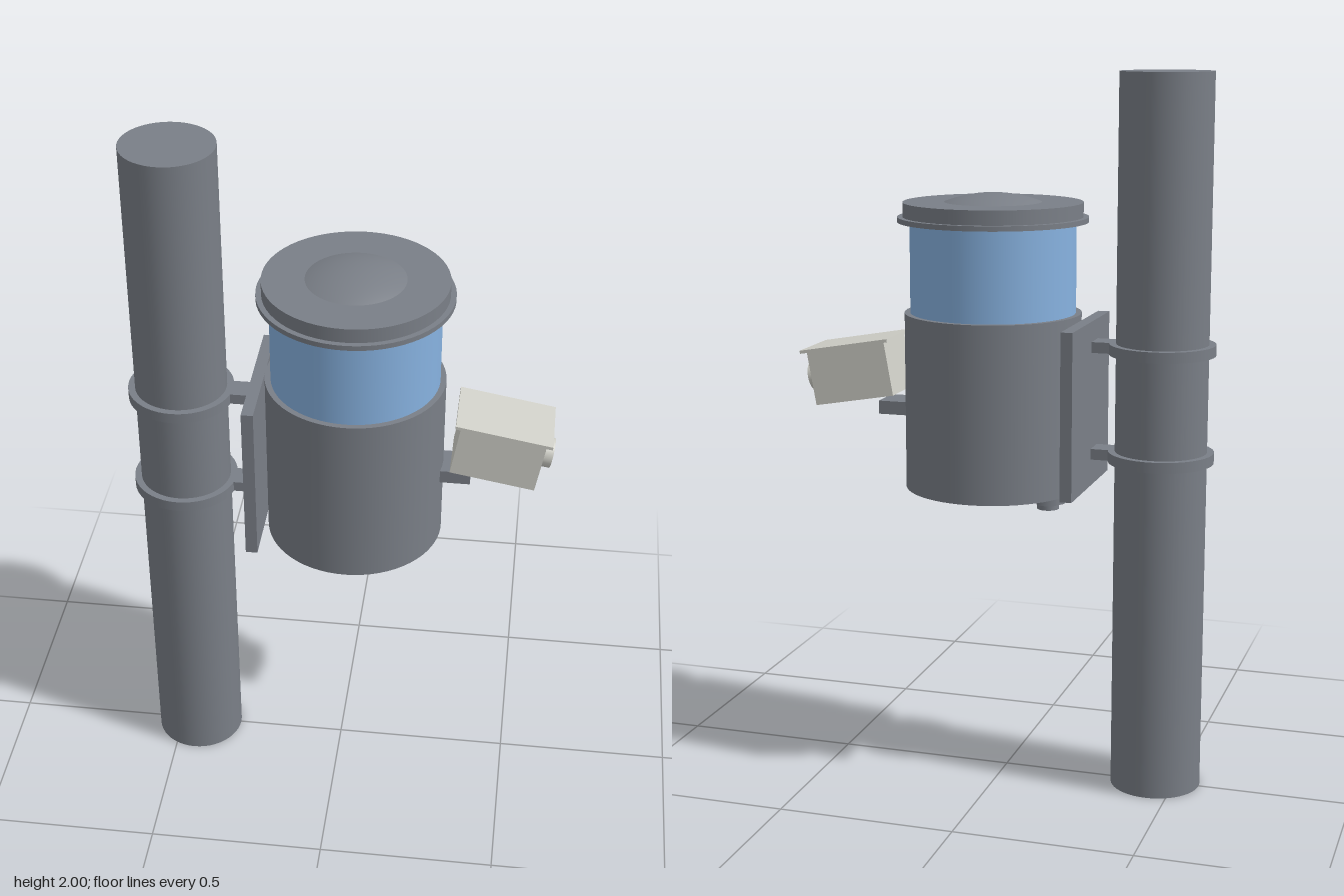
import * as THREE from 'three';

const mat = (name, color) => {
  const m = new THREE.MeshStandardMaterial({ color });
  m.name = name;
  return m;
};

export function createModel() {
  const grey = mat('steel grey', 0x7a7f87);
  const blue = mat('blue window', 0x87b2e0);
  const pale = mat('pale casing', 0xd0d0c8);
  const dark = mat('dark lens', 0x1c1c1e);

  const root = new THREE.Group();
  root.name = 'poleMountedSensor';

  const add = (parent, name, geometry, material, x = 0, y = 0, z = 0) => {
    const mesh = new THREE.Mesh(geometry, material);
    mesh.name = name;
    mesh.position.set(x, y, z);
    parent.add(mesh);
    return mesh;
  };
  // Upright cylinder between two heights
  const cyl = (parent, name, material, r, y0, y1, x, z = 0, sides = 48) =>
    add(parent, name, new THREE.CylinderGeometry(r, r, y1 - y0, sides), material, x, (y0 + y1) / 2, z);
  const box = (parent, name, material, w, h, d, x, y, z = 0) =>
    add(parent, name, new THREE.BoxGeometry(w, h, d), material, x, y, z);

  // Pole with two clamps
  const poleX = -0.444;
  cyl(root, 'pole', grey, 0.127, 0, 2, poleX);
  for (const y of [0.955, 1.255]) {
    const clamp = new THREE.Group();
    clamp.name = 'clamp';
    cyl(clamp, 'clampBand', grey, 0.146, y - 0.015, y + 0.015, poleX);
    box(clamp, 'clampTab', grey, 0.08, 0.03, 0.068, -0.293, y);
    root.add(clamp);
  }
  box(root, 'mountingPlate', grey, 0.033, 0.465, 0.4, -0.227, 1.088);

  // Round housing, window band and lid
  const bodyX = 0.04;
  cyl(root, 'housing', grey, 0.247, 0.84, 1.336, bodyX, 0, 64);
  cyl(root, 'windowBand', blue, 0.231, 1.336, 1.59, bodyX, 0, 64);
  cyl(root, 'lidFlange', grey, 0.265, 1.588, 1.602, bodyX, 0, 64);
  cyl(root, 'lid', grey, 0.25, 1.602, 1.642, bodyX, 0, 64);

  // Shallow dome cap on the lid
  const capR = 0.135, capH = 0.025;
  const R = (capR * capR + capH * capH) / (2 * capH);
  add(root, 'lidDome',
    new THREE.SphereGeometry(R, 48, 10, 0, Math.PI * 2, 0, Math.asin(capR / R)),
    grey, bodyX, 1.642 + capH - R);

  // Hexagonal cable glands underneath
  for (const z of [-0.064, 0, 0.064]) {
    const gland = new THREE.Group();
    gland.name = 'cableGland';
    const nut = cyl(gland, 'glandNut', grey, 0.038, 0.813, 0.842, -0.14, z, 6);
    nut.geometry.rotateY(Math.PI / 6);
    cyl(gland, 'glandEnd', grey, 0.031, 0.8, 0.813, -0.14, z, 24);
    root.add(gland);
  }

  // Camera on its bracket, tilted down
  box(root, 'cameraBracket', grey, 0.095, 0.038, 0.1, 0.318, 1.054);
  const camera = new THREE.Group();
  camera.name = 'camera';
  camera.position.set(0.44, 1.152, 0);
  camera.rotation.z = -Math.PI / 18;
  root.add(camera);
  box(camera, 'cameraBody', pale, 0.237, 0.154, 0.168, 0, 0);
  box(camera, 'cameraHood', pale, 0.268, 0.009, 0.194, 0, 0.081);

  // Lens barrel with a recessed dark lens
  const profile = [[0.042, 0], [0.042, 0.03], [0.033, 0.03], [0.033, 0.02]]
    .map(([r, y]) => new THREE.Vector2(r, y));
  const barrelParts = profile.slice(1).map((p, i) => [profile[i], p]);
  for (const pair of barrelParts) {
    const part = add(camera, 'lensBarrel', new THREE.LatheGeometry(pair, 32), pale, 0.118);
    part.rotation.z = -Math.PI / 2;
  }
  const lens = add(camera, 'lens', new THREE.CylinderGeometry(0.033, 0.033, 0.008, 32), dark, 0.14);
  lens.rotation.z = -Math.PI / 2;

  return root;
}
